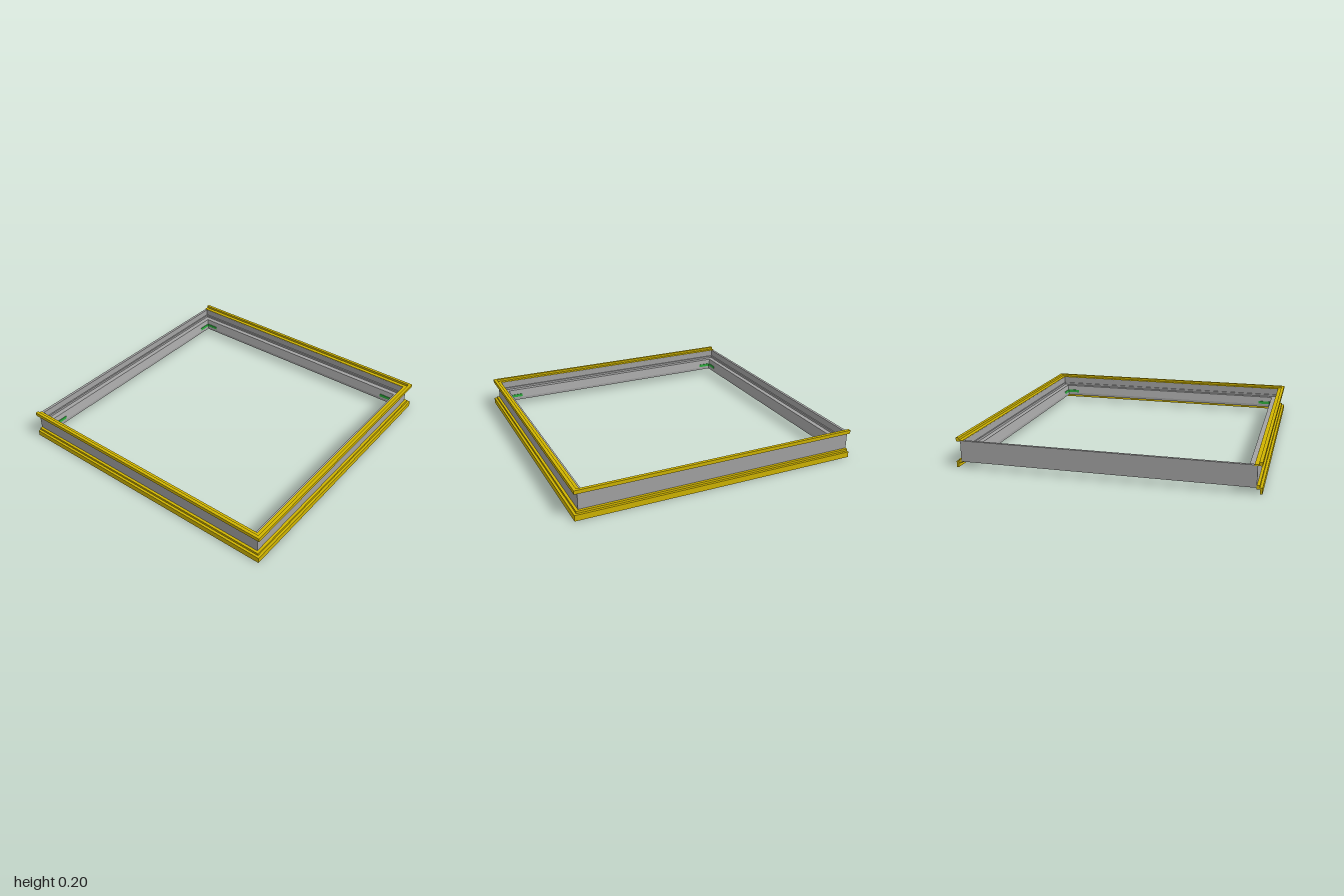
import * as THREE from 'three';

const SIDE = 0.965; // outer wall face on left, right and front
const BACK = -1;    // outer wall face at the back

// Mitred sweep of a counter-clockwise [inset, height] profile round the frame.
// closed: all four sides; otherwise left, front and right, with capped ends.
function sweep(profile, closed) {
  const corner = (k, [d, y]) => {
    const x = (k < 2 ? -1 : 1) * (SIDE - d);
    const atFront = k === 1 || k === 2;
    return [x, y, atFront ? SIDE - d : closed ? BACK + d : BACK];
  };
  const pos = [];
  const tri = (a, b, c) => pos.push(...a, ...b, ...c);
  const n = profile.length;
  for (let k = 0; k < (closed ? 4 : 3); k++) {
    const m = (k + 1) % 4;
    for (let i = 0; i < n; i++) {
      const p = profile[i], q = profile[(i + 1) % n];
      const a = corner(k, p), b = corner(k, q), c = corner(m, q), d = corner(m, p);
      tri(a, b, c);
      tri(a, c, d);
    }
  }
  if (!closed) {
    const pts = profile.map(([x, y]) => new THREE.Vector2(x, y));
    for (const [a, b, c] of THREE.ShapeUtils.triangulateShape(pts, [])) {
      tri(corner(0, profile[c]), corner(0, profile[b]), corner(0, profile[a]));
      tri(corner(3, profile[a]), corner(3, profile[b]), corner(3, profile[c]));
    }
  }
  const geo = new THREE.BufferGeometry();
  geo.setAttribute('position', new THREE.Float32BufferAttribute(pos, 3));
  geo.computeVertexNormals();
  return geo;
}

export function createModel() {
  const model = new THREE.Group();
  const grey = new THREE.MeshStandardMaterial({ color: 0xa3a3a3 });
  const yellow = new THREE.MeshStandardMaterial({ color: 0xd0b400 });
  const green = new THREE.MeshStandardMaterial({ color: 0x30b040 });
  const add = (name, geo, mat, parent = model) => {
    const mesh = new THREE.Mesh(geo, mat);
    mesh.name = name;
    parent.add(mesh);
    return mesh;
  };

  // Grey frame: tall outer wall, inner ledge and steep sloped lip
  add('frameWall', sweep([
    [0, 0.04], [0.08, 0.04], [0.08, 0.06], [0.065, 0.12],
    [0.03, 0.12], [0.03, 0.135], [0.02, 0.135], [0.02, 0.183], [0, 0.183],
  ], true), grey);

  // Yellow rail on three sides: raised outer lip and a lower shelf on the wall
  add('topRail', sweep([
    [-0.03, 0.178], [-0.008, 0.178], [0.019, 0.178], [0.019, 0.187],
    [-0.008, 0.187], [-0.008, 0.203], [-0.03, 0.203],
  ], false), yellow);

  // Yellow stepped flange with a hanging lip at the foot
  add('bottomRail', sweep([
    [-0.035, 0], [-0.02, 0], [-0.02, 0.03], [0.003, 0.03],
    [0.003, 0.055], [-0.018, 0.055], [-0.018, 0.04], [-0.035, 0.04],
  ], false), yellow);

  // Green L-shaped keys set into the lip at the four inner corners
  const arm = 0.1, t = 0.008, h = 0.025, inset = 0.071;
  for (const sx of [-1, 1]) {
    for (const sz of [-1, 1]) {
      const key = new THREE.Group();
      key.name = 'cornerKey';
      key.position.set(sx * (SIDE - inset), 0.0725, sz > 0 ? SIDE - inset : BACK + inset);
      add('cornerKeyArmX', new THREE.BoxGeometry(arm, h, t), green, key)
        .position.set(-sx * arm / 2, 0, -sz * t / 2);
      add('cornerKeyArmZ', new THREE.BoxGeometry(t, h, arm - t), green, key)
        .position.set(-sx * t / 2, 0, -sz * (arm + t) / 2);
      model.add(key);
    }
  }
  return model;
}
